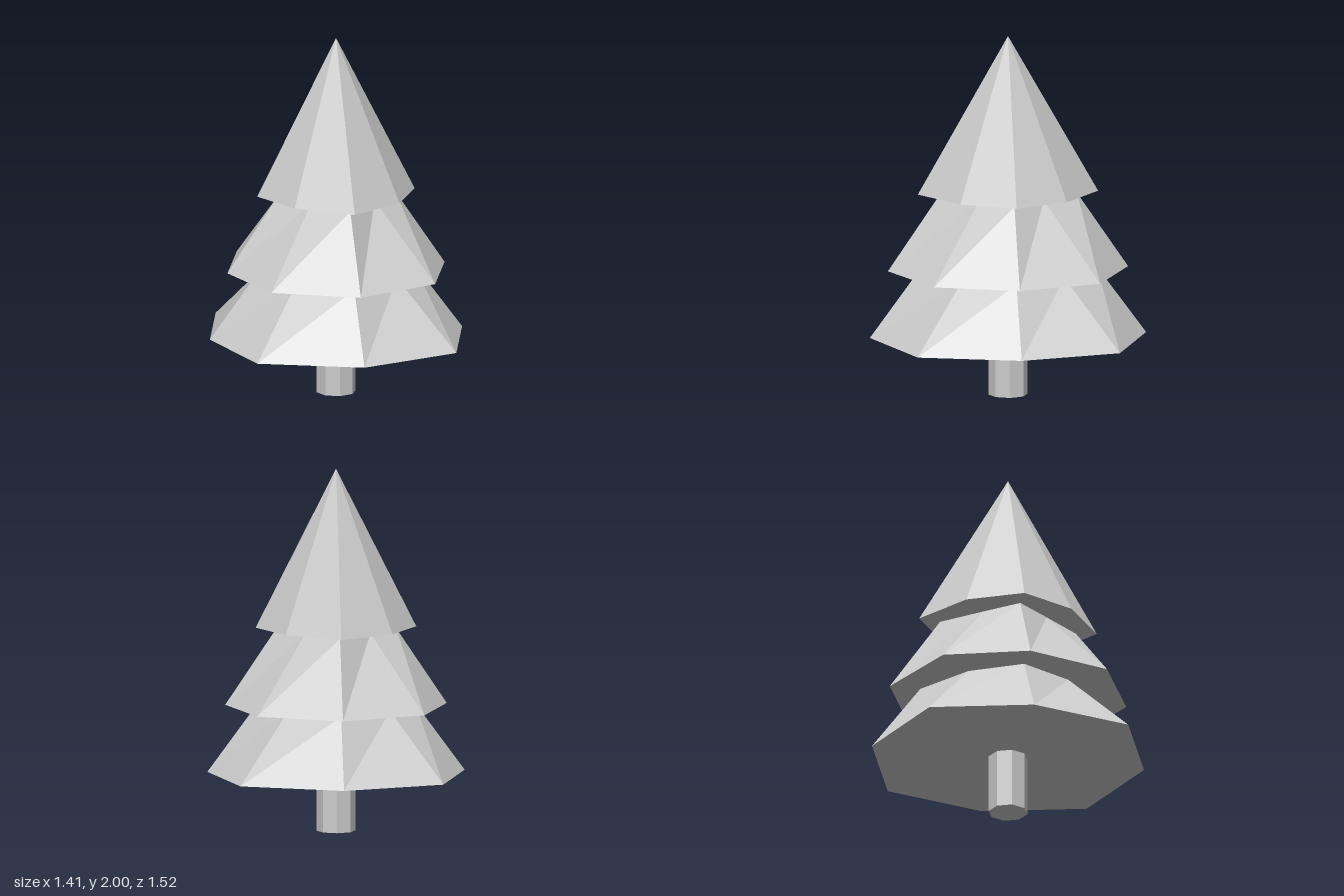
import * as THREE from 'three';

// Eight corners of a ring: x on the side corners, d on the diagonals, z front and back
function ringPoints([y, x, d, z]) {
  return [[0, z], [d, d], [x, 0], [d, -d], [0, -z], [-d, -d], [-x, 0], [-d, d]]
    .map(([px, pz]) => new THREE.Vector3(px, y, pz));
}

// Skins a sequence of rings with flat facets; a zero-size ring closes to a point
function loft(name, rings) {
  const points = [];
  for (let r = 0; r < rings.length - 1; r++) {
    const low = ringPoints(rings[r]);
    const high = ringPoints(rings[r + 1]);
    for (let i = 0; i < 8; i++) {
      const j = (i + 1) % 8;
      if (rings[r][1] > 0) points.push(low[i], low[j], high[j]);
      if (rings[r + 1][1] > 0) points.push(low[i], high[j], high[i]);
      else if (rings[r][1] === 0) continue;
    }
  }
  const geometry = new THREE.BufferGeometry().setFromPoints(points);
  geometry.computeVertexNormals();
  const mesh = new THREE.Mesh(
    geometry,
    new THREE.MeshStandardMaterial({ color: 0xcccccc, flatShading: true })
  );
  mesh.name = name;
  return mesh;
}

export function createModel() {
  const tree = new THREE.Group();
  tree.name = 'firTree';

  // Octagonal trunk, closed underneath
  tree.add(loft('trunk', [
    [0, 0, 0, 0],
    [0, 0.108, 0.076, 0.108],
    [0.33, 0.108, 0.076, 0.108],
  ]));

  // Foliage: one continuous skin stepping in and out over three tiers
  tree.add(loft('foliage', [
    [0.33, 0.108, 0.076, 0.108],
    [0.33, 0.705, 0.556, 0.76], // lower tier
    [0.7, 0.434, 0.28, 0.49],
    [0.7, 0.607, 0.458, 0.661], // middle tier
    [1.115, 0.33, 0.178, 0.38],
    [1.125, 0.44, 0.293, 0.496], // top tier
    [2, 0, 0, 0],
  ]));

  return tree;
}
